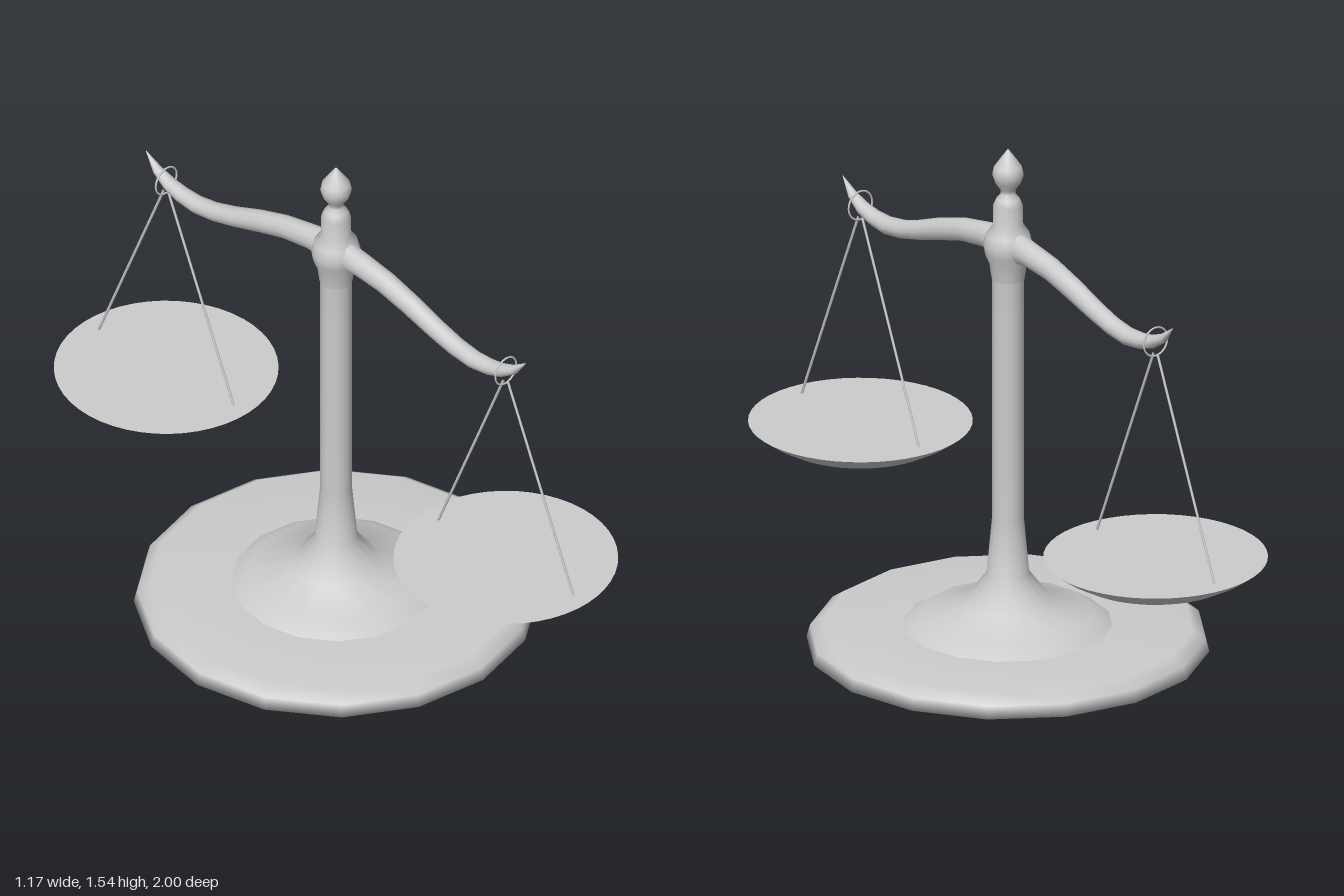
import * as THREE from 'three';

const grey = new THREE.MeshStandardMaterial({ color: 0xcccccc });

function part(name, geometry, parent) {
  const mesh = new THREE.Mesh(geometry, grey);
  mesh.name = name;
  parent.add(mesh);
  return mesh;
}

function lathe(points, sides) {
  return new THREE.LatheGeometry(points.map(([r, y]) => new THREE.Vector2(r, y)), sides);
}

// straight thin rod between two points
function rod(a, b, radius) {
  return new THREE.TubeGeometry(new THREE.LineCurve3(a, b), 1, radius, 6);
}

// elliptical sections [z, y, half width, half height] swept along the arm
function loftArm(stations, sides) {
  const pos = [], index = [];
  stations.forEach(([z, y, rx, ry], i) => {
    const p = stations[Math.max(i - 1, 0)], n = stations[Math.min(i + 1, stations.length - 1)];
    const slope = i === 0 ? 0 : Math.atan2(n[1] - p[1], n[0] - p[0]);
    for (let j = 0; j < sides; j++) {
      const a = (j / sides) * Math.PI * 2, up = Math.sin(a) * ry;
      pos.push(Math.cos(a) * rx, y + up * Math.cos(slope), z - up * Math.sin(slope));
      if (i === 0) continue;
      const k = (j + 1) % sides, lo = (i - 1) * sides, hi = i * sides;
      index.push(lo + j, lo + k, hi + j, lo + k, hi + k, hi + j);
    }
  });
  const g = new THREE.BufferGeometry();
  g.setAttribute('position', new THREE.Float32BufferAttribute(pos, 3));
  g.setIndex(index);
  g.computeVertexNormals();
  return g;
}

// one arm of the beam with its ring, strings and pan, towards +z
function createSide(name) {
  const side = new THREE.Group();
  side.name = name;
  const hangZ = 0.675, panY = 0.485;

  part('beamArm', loftArm([
    [0, 1.248, 0.036, 0.046], [0.05, 1.248, 0.036, 0.046], [0.1, 1.246, 0.035, 0.038],
    [0.2, 1.23, 0.033, 0.035], [0.3, 1.2, 0.031, 0.034], [0.4, 1.165, 0.03, 0.03],
    [0.48, 1.142, 0.029, 0.028], [0.55, 1.132, 0.028, 0.027], [0.61, 1.137, 0.026, 0.024],
    [0.66, 1.15, 0.023, 0.02], [0.71, 1.177, 0.015, 0.014], [0.755, 1.222, 0.001, 0.001],
  ], 12), side);

  const ring = part('hangingRing', new THREE.TorusGeometry(0.044, 0.003, 6, 24), side);
  ring.position.set(0, 1.155, hangZ);

  for (const s of [-1, 1]) {
    part('string', rod(
      new THREE.Vector3(0, 1.12, hangZ + s * 0.008),
      new THREE.Vector3(0, panY - 0.005, hangZ + s * 0.27), 0.004), side);
  }

  // shallow bowl closed by a flat top
  const pan = new THREE.Group();
  pan.name = 'pan';
  pan.position.z = hangZ;
  side.add(pan);
  part('panBowl', lathe([
    [0, 0.385], [0.06, 0.387], [0.12, 0.394], [0.18, 0.408], [0.24, 0.431],
    [0.29, 0.459], [0.325, panY],
  ], 48), pan);
  const top = part('panTop', new THREE.CircleGeometry(0.325, 48), pan);
  top.rotation.x = -Math.PI / 2;
  top.position.y = panY;
  return side;
}

export function createModel() {
  const model = new THREE.Group();
  model.name = 'balanceScale';

  // sixteen-sided base plate
  part('basePlate', lathe([
    [0, 0], [0.45, 0], [0.585, 0], [0.575, 0.037], [0.537, 0.062], [0.3, 0.066], [0, 0.066],
  ], 16), model);

  // flared foot rising into the column
  part('column', lathe([
    [0.31, 0.062], [0.25, 0.1], [0.13, 0.135], [0.062, 0.225], [0.046, 0.4],
    [0.046, 1.0], [0.046, 1.14], [0.052, 1.19],
  ], 16), model);

  // bulb, neck and pointed finial
  part('finial', lathe([
    [0.048, 1.14], [0.055, 1.19], [0.068, 1.22], [0.072, 1.25], [0.064, 1.28], [0.044, 1.31],
    [0.043, 1.37], [0.034, 1.39], [0.021, 1.405], [0.022, 1.418], [0.038, 1.44], [0.046, 1.465],
    [0.041, 1.488], [0.02, 1.518], [0, 1.545],
  ], 16), model);

  const front = createSide('frontSide');
  const back = createSide('backSide');
  back.rotation.y = Math.PI;
  model.add(front, back);
  return model;
}
